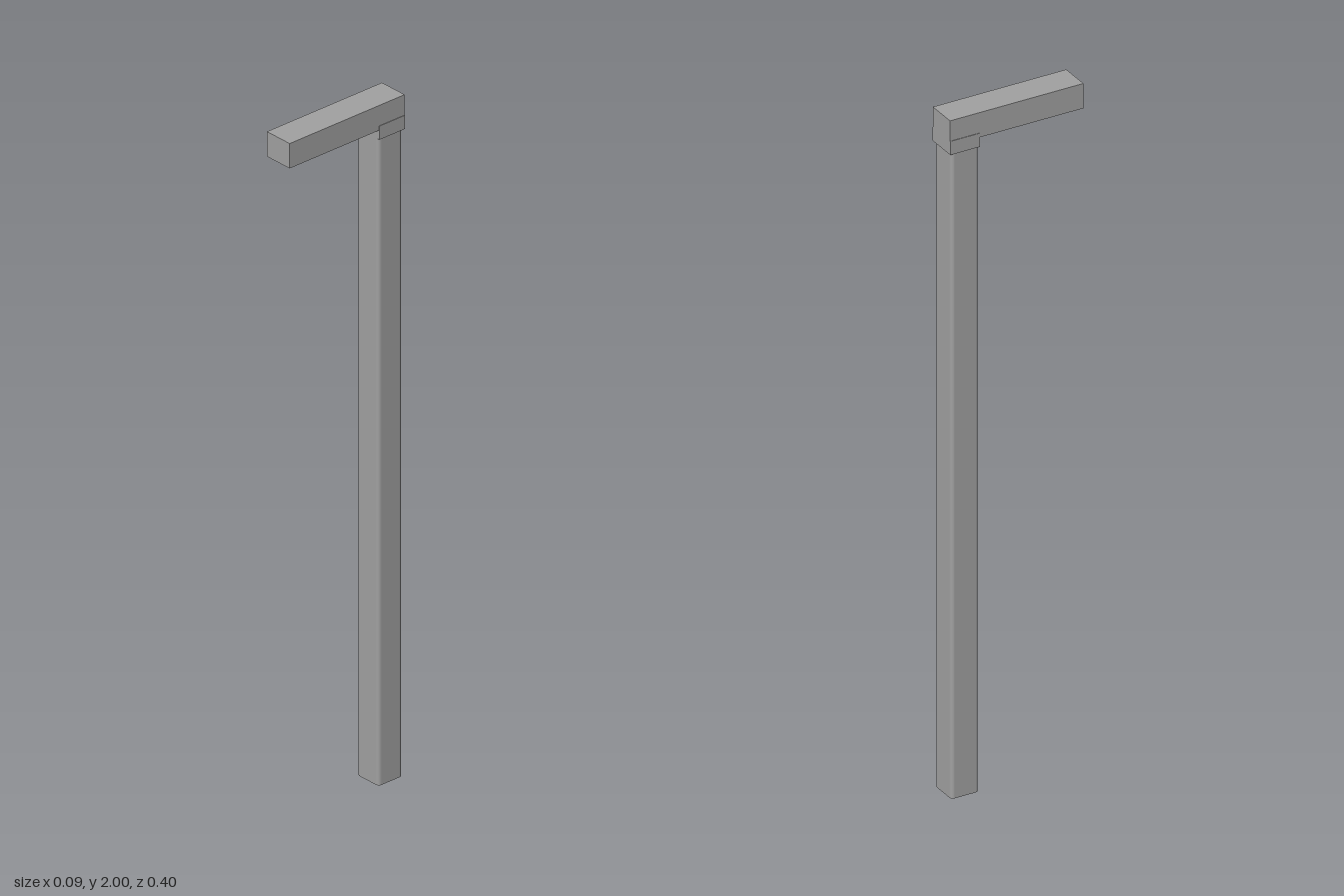
import * as THREE from 'three';

export function createModel() {
  const model = new THREE.Group();
  model.name = 'lampPost';
  const metal = new THREE.MeshStandardMaterial({ color: 0xa0a0a0 });
  metal.name = 'grey metal';

  const add = (name, geometry, x, y, z) => {
    const mesh = new THREE.Mesh(geometry, metal);
    mesh.name = name;
    mesh.position.set(x, y, z);
    model.add(mesh);
  };

  // Square post with small rounded corners
  const h = 0.0415, r = 0.01;
  const profile = new THREE.Shape();
  [[1, 1], [-1, 1], [-1, -1], [1, -1]].forEach(([sx, sy], i) => {
    const start = i * Math.PI / 2;
    profile.absarc(sx * (h - r), sy * (h - r), r, start, start + Math.PI / 2, false);
  });
  profile.closePath();
  const post = new THREE.ExtrudeGeometry(profile, { depth: 1.91, bevelEnabled: false, curveSegments: 3 });
  post.rotateX(-Math.PI / 2);
  add('post', post, 0, 0, -0.153);

  // Collar joining post and arm, slightly wider than the arm
  add('collar', new THREE.BoxGeometry(0.091, 0.04, 0.089), 0, 1.92, -0.1555);

  // Horizontal arm reaching forward
  add('arm', new THREE.BoxGeometry(0.088, 0.073, 0.4), 0, 1.9635, 0);

  return model;
}
